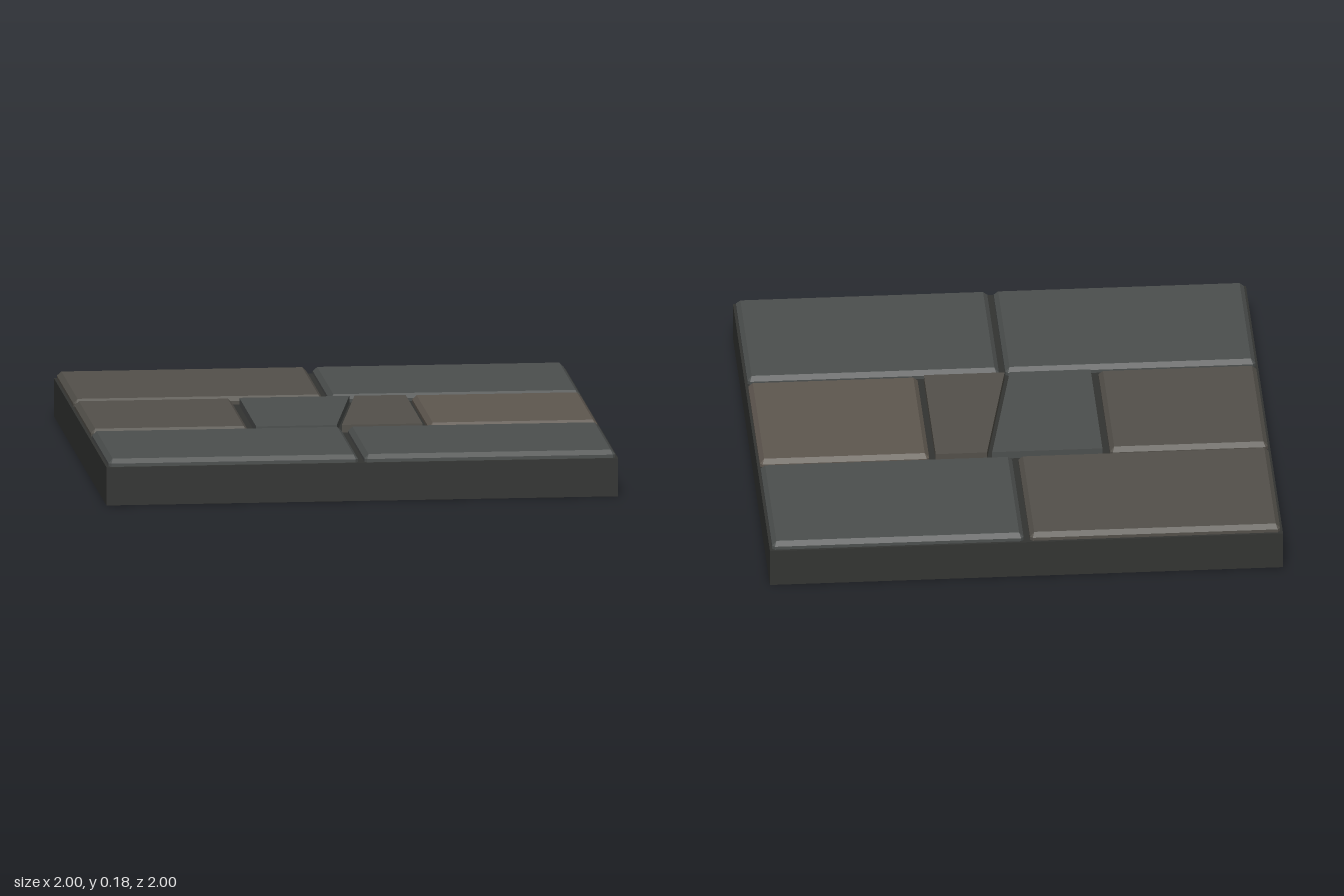
import * as THREE from 'three';

const BASE_TOP = 0.15;
const SLAB_TOP = 0.18;
const BEVEL = 0.017;

const material = (color) => new THREE.MeshStandardMaterial({ color, flatShading: true });

// Flat outline in (x, z) raised from the base, with an optional bevelled top edge
function slab(name, points, mat, bevel = 0) {
  const shape = new THREE.Shape(points.map(([x, z]) => new THREE.Vector2(x, -z)));
  const bottom = BASE_TOP - 0.02; // set slightly into the mortar
  const geometry = new THREE.ExtrudeGeometry(shape, {
    depth: SLAB_TOP - bottom - 2 * bevel,
    bevelEnabled: bevel > 0,
    bevelThickness: bevel,
    bevelSize: bevel,
    bevelOffset: -bevel,
    bevelSegments: 1,
  });
  geometry.rotateX(-Math.PI / 2);
  geometry.translate(0, bottom + bevel, 0);
  const mesh = new THREE.Mesh(geometry, mat);
  mesh.name = name;
  return mesh;
}

// Rectangle with clipped corners
function clippedRect(x0, x1, z0, z1, c = 0.01) {
  return [
    [x0 + c, z1], [x1 - c, z1], [x1, z1 - c], [x1, z0 + c],
    [x1 - c, z0], [x0 + c, z0], [x0, z0 + c], [x0, z1 - c],
  ];
}

export function createModel() {
  const group = new THREE.Group();
  group.name = 'stoneFloorTile';

  const mortar = material(0x333432);
  const grey = material(0x4c4f4e);
  const olive = material(0x53504a);
  const brown = material(0x5e574f);

  // Mortar base
  const base = new THREE.Mesh(new THREE.BoxGeometry(2, BASE_TOP, 2), mortar);
  base.name = 'mortarBase';
  base.position.y = BASE_TOP / 2;
  group.add(base);

  // Whole paving slabs: name, x range, z range, stone
  const slabs = [
    ['backRightSlab', -0.99, -0.015, -0.99, -0.345, olive],
    ['backLeftSlab', 0.01, 0.99, -0.99, -0.345, grey],
    ['middleRightSlab', -0.99, -0.375, -0.325, 0.32, olive],
    ['middleLeftSlab', 0.33, 0.99, -0.325, 0.32, brown],
    ['frontRightSlab', -0.99, -0.015, 0.345, 0.99, grey],
    ['frontLeftSlab', 0.01, 0.99, 0.345, 0.99, grey],
  ];
  for (const [name, x0, x1, z0, z1, mat] of slabs) {
    group.add(slab(name, clippedRect(x0, x1, z0, z1), mat, BEVEL));
  }

  // Cracked centre slab: two square-edged pieces with a slanted split
  const z = 0.32;
  group.add(slab('crackedSlabRightPiece',
    [[-0.345, z], [-0.03, z], [0.085, -z], [-0.345, -z]], grey));
  group.add(slab('crackedSlabLeftPiece',
    [[-0.01, z], [0.305, z], [0.305, -z], [0.105, -z]], olive));

  return group;
}
